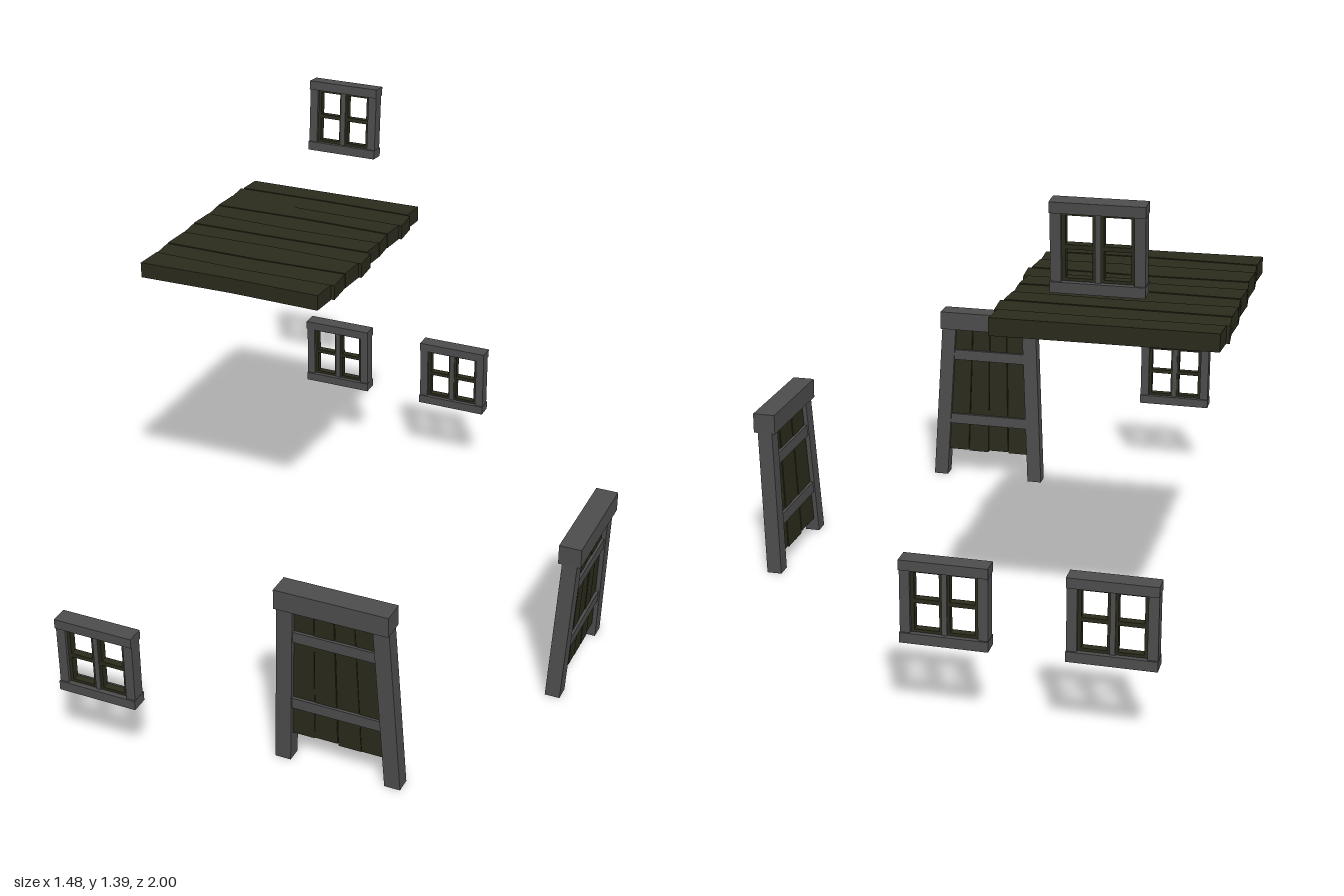
import * as THREE from 'three';

const grey = new THREE.MeshStandardMaterial({ color: 0x4c4c4c });
grey.name = 'grey timber';
const dark = new THREE.MeshStandardMaterial({ color: 0x2a2a1c });
dark.name = 'dark plank wood';

function add(parent, name, geometry, material, x = 0, y = 0, z = 0) {
  const mesh = new THREE.Mesh(geometry, material);
  mesh.name = name;
  mesh.position.set(x, y, z);
  parent.add(mesh);
  return mesh;
}

const box = (w, h, d) => new THREE.BoxGeometry(w, h, d);

// Upright board whose bottom and top ends have their own x range and z centre
function board(y0, y1, bottom, top, z0, z1, depth) {
  const g = box(1, 1, depth);
  const p = g.attributes.position;
  for (let i = 0; i < p.count; i++) {
    const up = p.getY(i) > 0;
    const [a, b] = up ? top : bottom;
    p.setXYZ(i, p.getX(i) < 0 ? a : b, up ? y1 : y0, p.getZ(i) + (up ? z1 : z0));
  }
  g.computeVertexNormals();
  return g;
}

function rect(path, x0, y0, x1, y1) {
  path.moveTo(x0, y0);
  path.lineTo(x1, y0);
  path.lineTo(x1, y1);
  path.lineTo(x0, y1);
  path.closePath();
  return path;
}

// Four-pane window, centred on its origin
function makeWindow() {
  const win = new THREE.Group();
  win.name = 'window';
  for (const s of [-1, 1]) {
    add(win, s > 0 ? 'topRail' : 'sill', box(0.235, 0.028, 0.05), grey, 0, s * 0.101, 0);
    add(win, 'stile', box(0.027, 0.176, 0.04), grey, s * 0.103, 0, 0);
  }
  const sash = rect(new THREE.Shape(), -0.092, -0.088, 0.092, 0.088);
  for (const sx of [-1, 1]) for (const sy of [-1, 1]) {
    const xs = [sx * 0.014, sx * 0.08].sort((a, b) => a - b);
    const ys = [sy * 0.006, sy * 0.079].sort((a, b) => a - b);
    sash.holes.push(rect(new THREE.Path(), xs[0], ys[0], xs[1], ys[1]));
  }
  const g = new THREE.ExtrudeGeometry(sash, { depth: 0.022, bevelEnabled: false });
  add(win, 'sash', g, dark, 0, 0, -0.011);
  add(win, 'mullion', box(0.014, 0.176, 0.03), grey);
  return win;
}

// Tapered, leaning plank door; lean is how far the top moves along z
function makeDoor({ height, foot, head, lean, planks, plankBottom, bars }) {
  const door = new THREE.Group();
  door.name = 'door';
  const legTop = height - 0.055;
  const legW = 0.047;
  const zAt = (y) => (lean * y) / legTop;
  const halfAt = (y) => foot + ((head - foot) * y) / legTop;

  for (const s of [-1, 1]) {
    const ends = (h) => [s * h, s * (h - legW)].sort((a, b) => a - b);
    add(door, 'doorPost', board(0, legTop, ends(foot), ends(head), 0, lean, 0.045), grey);
  }
  add(door, 'lintel', box(head * 2 + 0.006, 0.06, 0.067), grey, 0, height - 0.03, lean);

  // Planks follow the taper with narrow gaps between them
  for (let i = 0; i < planks; i++) {
    const y0 = plankBottom + [0, 0.004, -0.003][i % 3];
    const y1 = legTop - [0.004, 0, 0.007][i % 3];
    const ends = (y) => {
      const half = halfAt(y) - legW + 0.002;
      const step = (half * 2) / planks;
      return [-half + i * step + 0.001, -half + (i + 1) * step - 0.001];
    };
    const g = board(y0, y1, ends(y0), ends(y1), zAt(y0), zAt(y1), 0.018 + 0.003 * (i % 2));
    add(door, 'doorPlank', g, dark);
  }

  // Cross bars show on both faces
  for (const y of bars) {
    const half = halfAt(y) - legW + 0.004;
    const g = board(y - 0.017, y + 0.017, [-half, half], [-half, half], zAt(y - 0.017), zAt(y + 0.017), 0.036);
    add(door, 'crossBar', g, grey);
  }
  return door;
}

// Floor of uneven planks running along x
function makePlatform() {
  const floor = new THREE.Group();
  floor.name = 'plankFloor';
  const seams = [ // z at the left end, middle and right end
    [-0.765, -0.768, -0.772], [-0.69, -0.695, -0.692], [-0.612, -0.608, -0.605],
    [-0.525, -0.532, -0.525], [-0.45, -0.44, -0.45], [-0.36, -0.362, -0.368],
    [-0.285, -0.292, -0.283], [-0.188, -0.185, -0.195], [-0.112, -0.102, -0.105],
    [-0.02, -0.026, -0.018],
  ];
  const left = [-0.728, -0.742, -0.736, -0.742, -0.737, -0.743, -0.736, -0.742, -0.737];
  const right = [-0.143, -0.138, -0.141, -0.148, -0.143, -0.135, -0.138, -0.144, -0.148];
  for (let i = 0; i < left.length; i++) {
    const a = seams[i], b = seams[i + 1];
    const l = left[i], r = right[i], mid = (l + r) / 2;
    const skew = i % 2 ? 0.006 : -0.005;
    const gap = 0.001;
    const shape = new THREE.Shape([
      [l + skew, -b[0] + gap], [mid, -b[1] + gap], [r + skew, -b[2] + gap],
      [r, -a[2] - gap], [mid, -a[1] - gap], [l, -a[0] - gap],
    ].map(([x, y]) => new THREE.Vector2(x, y)));
    const g = new THREE.ExtrudeGeometry(shape, { depth: 0.048 - 0.002 * (i % 2), bevelEnabled: false });
    g.rotateX(-Math.PI / 2);
    add(floor, 'floorPlank', g, dark, 0, 1, 0);
  }
  return floor;
}

export function createModel() {
  const model = new THREE.Group();
  model.name = 'houseParts';

  // Windows: position and backward tilt
  for (const [x, y, z, tilt] of [
    [-0.517, 0.35, -0.975, 0], [-0.083, 0.35, -0.975, 0],
    [-0.35, 0.35, 0.972, 0], [-0.443, 1.274, -0.864, -0.085],
  ]) {
    const win = makeWindow();
    win.position.set(x, y, z);
    win.rotation.x = tilt;
    model.add(win);
  }

  const front = makeDoor({
    height: 0.582, foot: 0.189, head: 0.163, lean: 0.024,
    planks: 4, plankBottom: 0.09, bars: [0.43, 0.202],
  });
  front.name = 'frontDoor';
  front.position.set(0.253, 0, 0.732);
  model.add(front);

  const side = makeDoor({
    height: 0.506, foot: 0.195, head: 0.171, lean: 0.022,
    planks: 5, plankBottom: 0.042, bars: [0.348, 0.153],
  });
  side.name = 'sideDoor';
  side.position.set(0.686, 0, -0.011);
  side.rotation.y = Math.PI / 2;
  model.add(side);

  model.add(makePlatform());
  return model;
}
